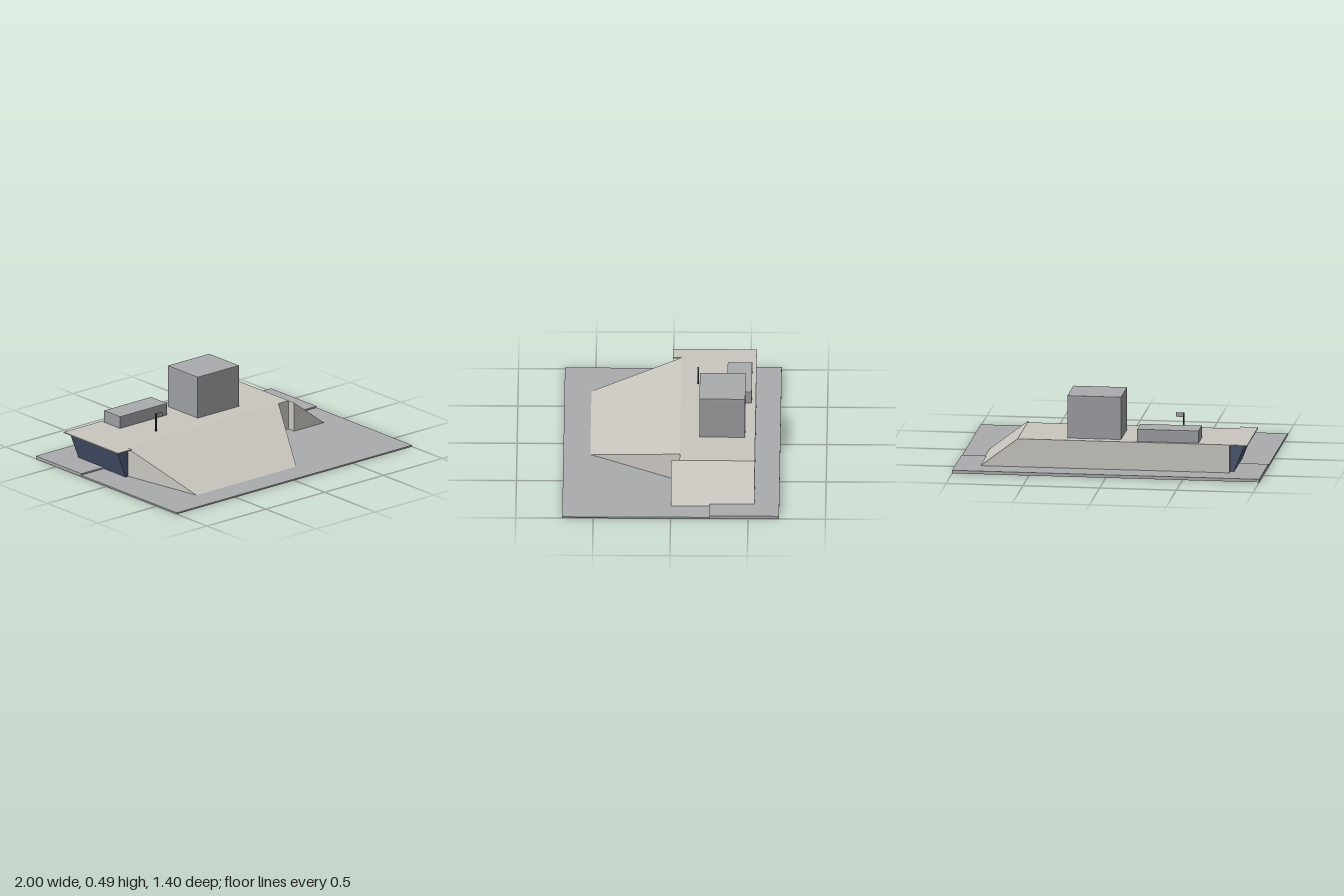
import * as THREE from 'three';
import { ConvexGeometry } from 'three/addons/geometries/ConvexGeometry.js';

const material = (name, color) => {
  const m = new THREE.MeshStandardMaterial({ color });
  m.name = name;
  return m;
};

export function createModel() {
  const model = new THREE.Group();
  model.name = 'rampedBuilding';
  const concrete = material('pale concrete', 0xc9c6bf);
  const paving = material('grey paving', 0xaaabad);
  const wall = material('grey wall', 0x9d9ea2);
  const glass = material('dark blue glass', 0x4b5873);
  const dark = material('dark metal', 0x2c2e33);

  const add = (name, geometry, mat) => {
    const mesh = new THREE.Mesh(geometry, mat);
    mesh.name = name;
    model.add(mesh);
    return mesh;
  };
  // Box given by its lower and upper limits
  const box = (name, mat, [x0, x1], [y0, y1], [z0, z1]) => {
    const mesh = add(name, new THREE.BoxGeometry(x1 - x0, y1 - y0, z1 - z0), mat);
    mesh.position.set((x0 + x1) / 2, (y0 + y1) / 2, (z0 + z1) / 2);
  };
  // Convex solid from its corners
  const solid = (name, mat, corners) =>
    add(name, new ConvexGeometry(corners.map((c) => new THREE.Vector3(...c))), mat);
  // Profile in x and y, carried from z0 to z1
  const prism = (name, mat, profile, z0, z1) =>
    solid(name, mat, profile.flatMap(([x, y]) => [[x, y, z0], [x, y, z1]]));

  // Ground with a raised strip along the back
  const base = 0.002, top = 0.205;
  box('ground', paving, [-1, 1], [0, 0.01], [-0.7, 0.7]);
  box('raisedPavement', paving, [-1, 1], [0.01, 0.02], [-0.7, -0.25]);

  // Main block, with a sloping end on the model's left
  box('mainBlock', concrete, [-0.785, 0.595], [base, top], [-0.54, -0.055]);
  prism('endSlope', concrete, [[0.595, base], [0.595, top], [0.86, base]], -0.54, 0);

  // Broad front ramp, narrowing towards the ground
  solid('frontRamp', concrete, [
    [-0.785, base, -0.055], [0.51, base, -0.055],
    [-0.785, top, -0.055], [0.51, top, -0.055],
    [-0.68, base, 0.55], [0.15, base, 0.55],
  ]);

  // Overhanging roof edge above leaning glazing
  box('roofOverhang', concrete, [-0.9, -0.785], [top - 0.007, top], [-0.54, 0]);
  prism('leaningGlazing', glass,
    [[-0.785, base], [-0.802, base], [-0.88, top - 0.007], [-0.785, top - 0.007]], -0.5, -0.035);

  // Rooftop blocks, each with a thin roof
  for (const [name, x, height, z] of [
    ['tallBlock', [-0.07, 0.28], 0.485, [-0.475, -0.18]],
    ['lowBlock', [-0.58, -0.18], 0.285, [-0.513, -0.355]],
  ]) {
    box(name, wall, x, [top, height - 0.008], z);
    box(name + 'Roof', paving, x, [height - 0.008, height], z);
  }

  // Signpost
  box('signPole', dark, [-0.44, -0.432], [top, 0.325], [-0.169, -0.161]);
  box('signPanel', wall, [-0.432, -0.386], [0.297, 0.325], [-0.168, -0.162]);

  return model;
}
